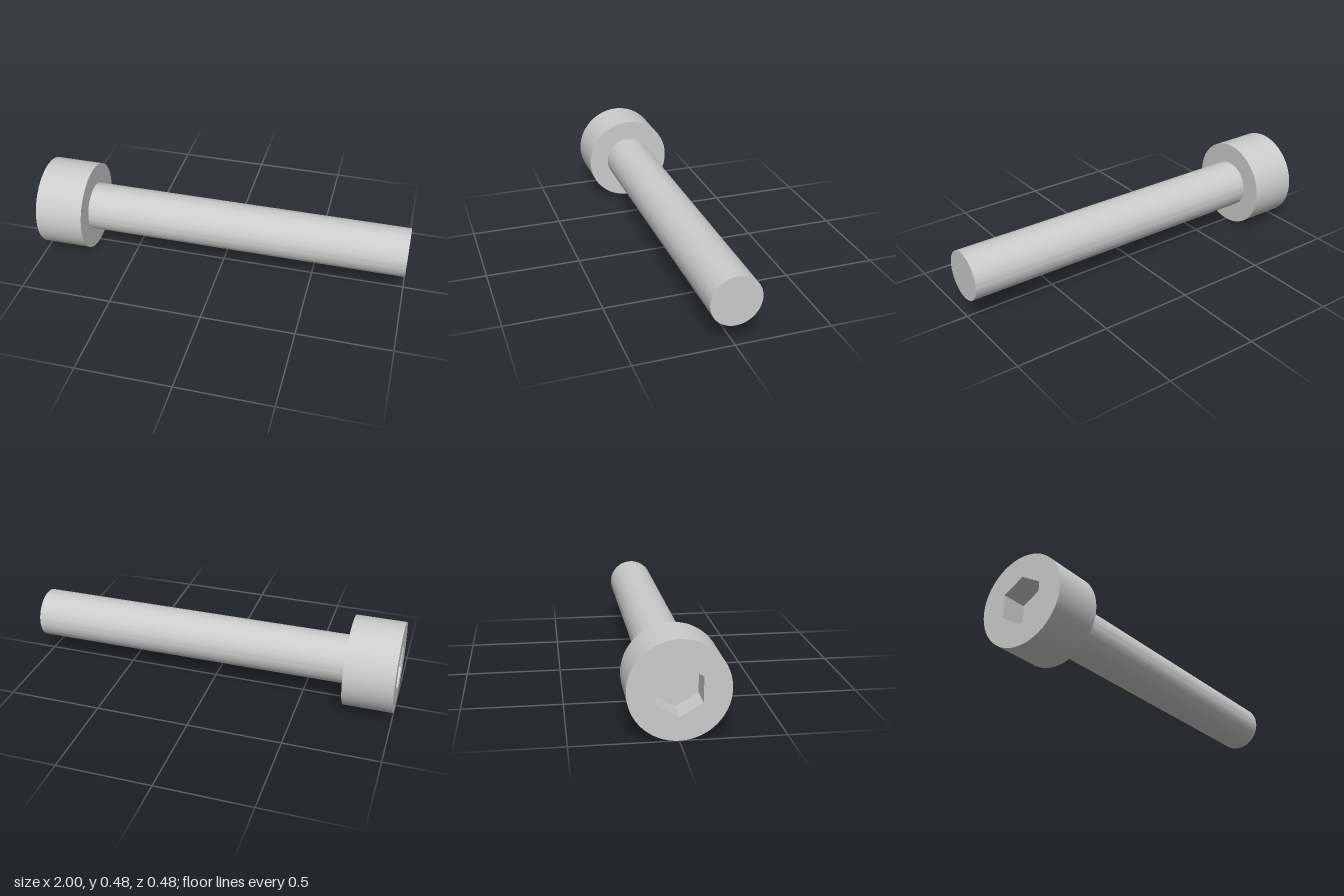
import * as THREE from 'three';
import { toCreasedNormals } from 'three/addons/utils/BufferGeometryUtils.js';

const SEGMENTS = 96;
const HEAD_R = 0.239, SHAFT_R = 0.13, HEAD_X = -0.739;
const HEX_R = 0.1255, HEX_DEPTH = 0.13;

// Revolve a profile of [radius, x] pairs about the x axis, keeping corners sharp
function turned(profile) {
  const points = profile.map(([r, x]) => new THREE.Vector2(r, x));
  const geometry = new THREE.LatheGeometry(points, SEGMENTS).rotateZ(-Math.PI / 2);
  return toCreasedNormals(geometry, Math.PI / 6);
}

export function createModel() {
  const bolt = new THREE.Group();
  bolt.name = 'socketHeadBolt';
  bolt.position.y = HEAD_R;

  const steel = new THREE.MeshStandardMaterial({ color: 0xcccccc });
  steel.name = 'steel';

  const add = (name, geometry) => {
    const mesh = new THREE.Mesh(geometry, steel);
    mesh.name = name;
    bolt.add(mesh);
  };

  // Head side and the shoulder under it
  add('head', turned([[HEAD_R, -1], [HEAD_R, HEAD_X], [SHAFT_R, HEAD_X]]));

  // Plain shaft with a flat tip
  add('shaft', turned([[SHAFT_R, HEAD_X], [SHAFT_R, 1], [0, 1]]));

  // Outer face of the head with a hexagonal opening
  const face = new THREE.Shape().absarc(0, 0, HEAD_R, 0, Math.PI * 2, false);
  const corners = [];
  for (let i = 0; i < 6; i++) {
    const a = Math.PI / 2 - i * Math.PI / 3;
    corners.push(new THREE.Vector2(Math.cos(a) * HEX_R, Math.sin(a) * HEX_R));
  }
  face.holes.push(new THREE.Path(corners));
  add('headFace', new THREE.ShapeGeometry(face, SEGMENTS).rotateY(-Math.PI / 2).translate(-1, 0, 0));

  // Socket walls: a hexagonal tube mirrored so that its faces point inward
  const walls = new THREE.CylinderGeometry(HEX_R, HEX_R, HEX_DEPTH, 6, 1, true)
    .scale(1, 1, -1)
    .rotateY(Math.PI / 2)
    .rotateZ(-Math.PI / 2)
    .translate(-1 + HEX_DEPTH / 2, 0, 0)
    .toNonIndexed();
  walls.computeVertexNormals();
  add('socketWalls', walls);

  // Socket floor
  add('socketFloor', new THREE.CircleGeometry(HEX_R, 6)
    .rotateZ(Math.PI / 2)
    .rotateY(-Math.PI / 2)
    .translate(-1 + HEX_DEPTH, 0, 0));

  const model = new THREE.Group();
  model.name = 'model';
  model.add(bolt);
  return model;
}
